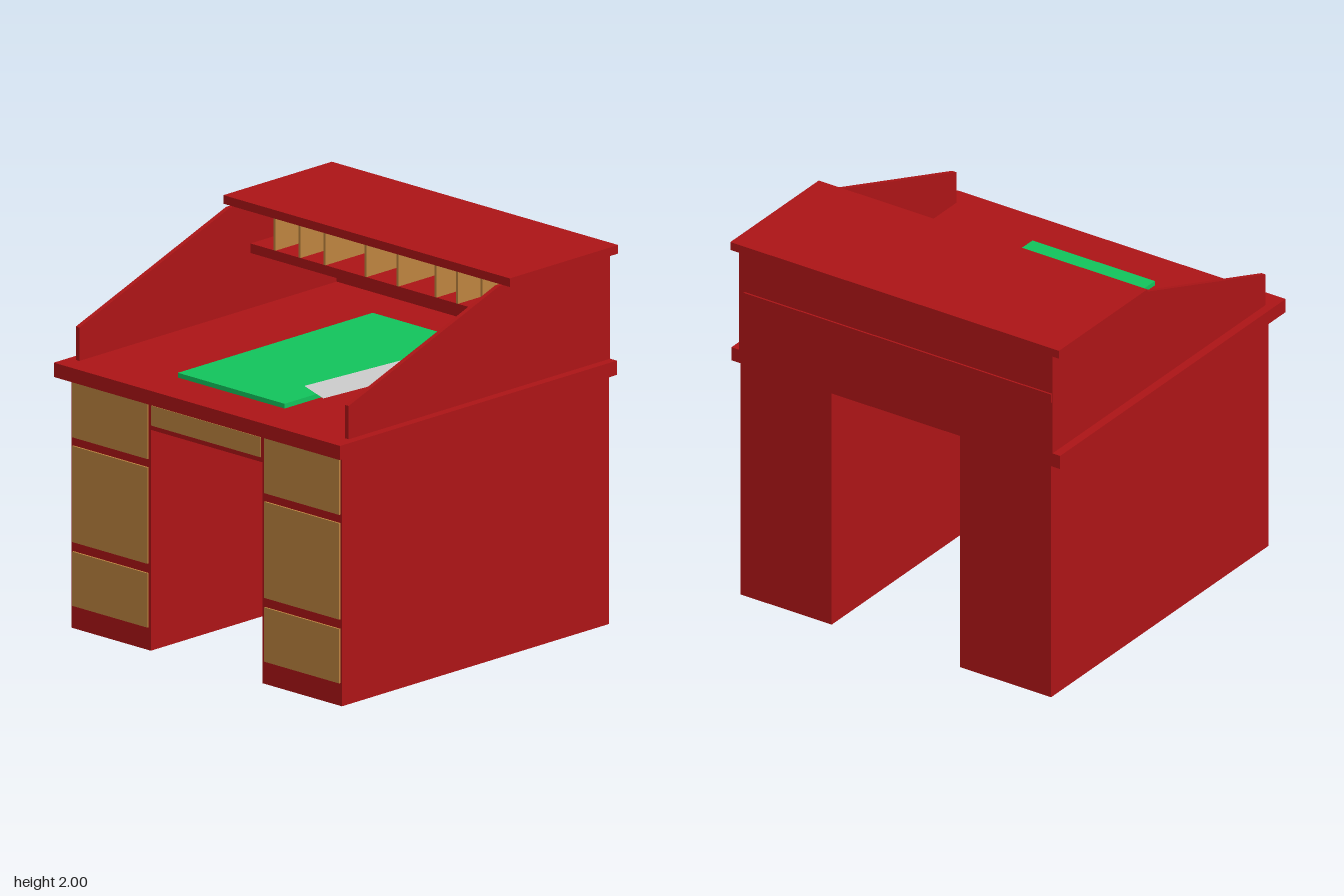
import * as THREE from 'three';

const mat = (color, side = THREE.FrontSide) =>
  new THREE.MeshStandardMaterial({ color, side });

export function createModel() {
  const desk = new THREE.Group();
  desk.name = 'writingDesk';
  const red = mat(0xac1416);
  const wood = mat(0xbd843f);
  const green = mat(0x12c35c);
  const grey = mat(0xcccccc, THREE.DoubleSide);

  // Box given by its lower and upper limits on each axis
  function block(name, material, [x0, x1], [y0, y1], [z0, z1]) {
    const mesh = new THREE.Mesh(new THREE.BoxGeometry(x1 - x0, y1 - y0, z1 - z0), material);
    mesh.position.set((x0 + x1) / 2, (y0 + y1) / 2, (z0 + z1) / 2);
    mesh.name = name;
    desk.add(mesh);
    return mesh;
  }

  // Pedestals with three drawer fronts each
  const drawerRows = [[0.12, 0.405], [0.455, 0.96], [1.005, 1.295]];
  const sides = [
    { name: 'left', body: [0.39, 0.945], front: [0.41, 0.935] },
    { name: 'right', body: [-0.945, -0.39], front: [-0.93, -0.405] },
  ];
  for (const s of sides) {
    block(s.name + 'Pedestal', red, s.body, [0, 1.32], [-0.99, 0.93]);
    drawerRows.forEach((row, i) =>
      block(s.name + 'DrawerFront' + (i + 1), wood, s.front, row, [0.93, 0.94]));
  }

  // Shallow drawer over the knee space
  block('centreDrawerBox', red, [-0.39, 0.39], [1.16, 1.32], [-0.46, 0.93]);
  block('centreDrawerFront', wood, [-0.385, 0.38], [1.185, 1.29], [0.93, 0.935]);

  // Desktop
  block('desktop', red, [-1, 1], [1.32, 1.395], [-0.99, 1]);

  // Hutch: sloped side panels, drawn as (-z, y) and turned to face sideways
  const profile = new THREE.Shape([
    [0.99, 1.395], [0.99, 1.955], [0.19, 1.955], [-0.89, 1.57], [-0.89, 1.395],
  ].map(([a, b]) => new THREE.Vector2(a, b)));
  const panelGeometry = new THREE.ExtrudeGeometry(profile, { depth: 0.025, bevelEnabled: false });
  panelGeometry.rotateY(Math.PI / 2);
  for (const [name, x] of [['leftSidePanel', 0.928], ['rightSidePanel', -0.953]]) {
    const panel = new THREE.Mesh(panelGeometry, red);
    panel.position.x = x;
    panel.name = name;
    desk.add(panel);
  }
  block('hutchBack', red, [-0.93, 0.93], [1.395, 1.955], [-0.99, -0.96]);
  block('hutchTop', red, [-1, 1], [1.955, 2], [-1, -0.22]);

  // Pigeonhole shelf and its dividers
  block('shelf', red, [-0.95, 0.92], [1.685, 1.735], [-1, -0.34]);
  for (const x of [-0.76, -0.585, -0.41, -0.125, 0.1, 0.365, 0.515, 0.685])
    block('pigeonholeDivider', wood, [x - 0.007, x + 0.007], [1.735, 1.955], [-0.96, -0.34]);

  // Blotter and a loose sheet lying askew
  block('blotter', green, [-0.38, 0.365], [1.395, 1.42], [-0.655, 0.745]);
  const sheetShape = new THREE.Shape([
    [0.315, 0.215], [0.26, -0.495], [0.475, -0.58], [0.53, 0.13],
  ].map(([a, b]) => new THREE.Vector2(a, b)));
  const sheet = new THREE.Mesh(new THREE.ShapeGeometry(sheetShape).rotateX(-Math.PI / 2), grey);
  sheet.position.y = 1.435;
  sheet.name = 'paperSheet';
  desk.add(sheet);

  return desk;
}
